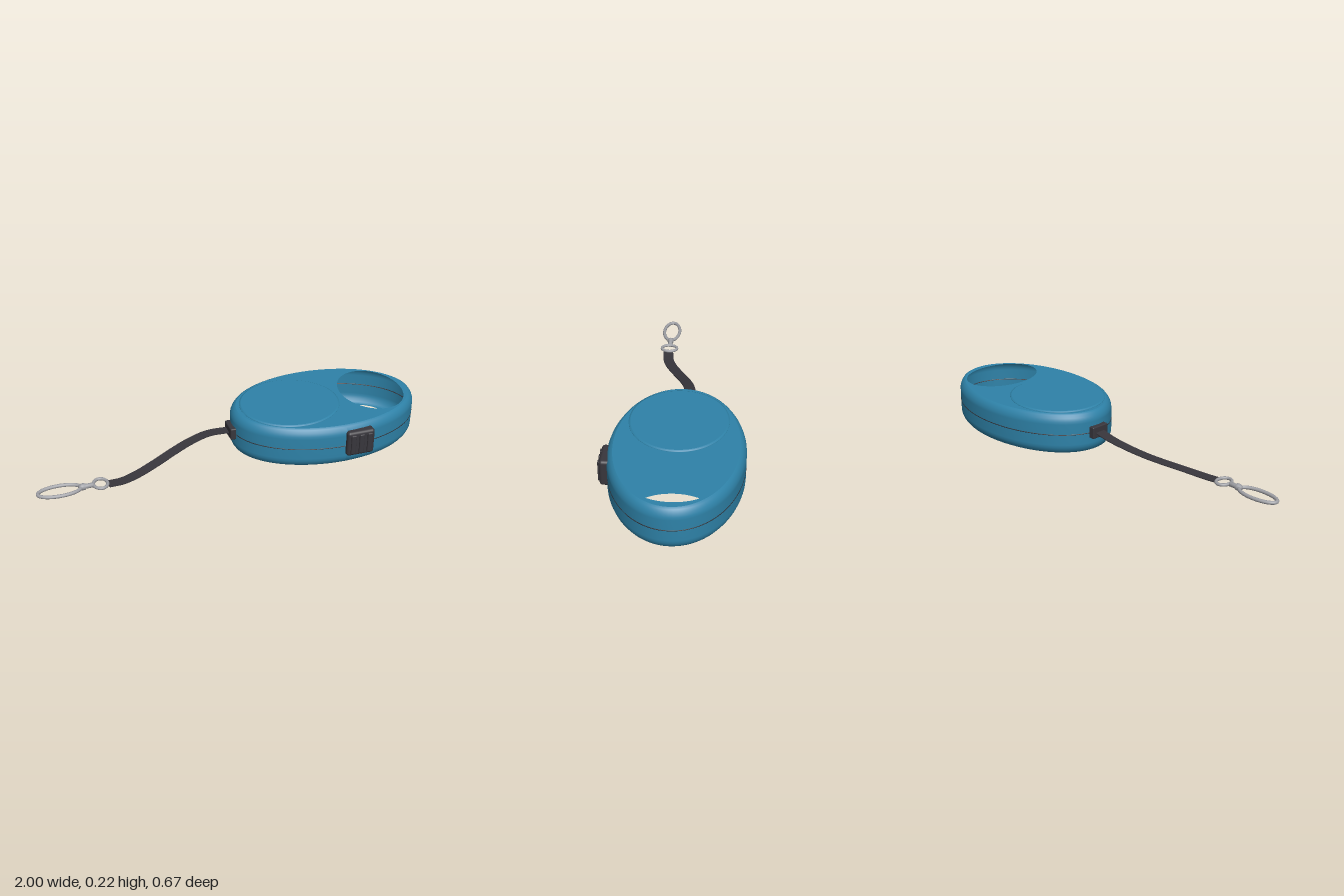
import * as THREE from 'three';
import { RoundedBoxGeometry } from 'three/addons/geometries/RoundedBoxGeometry.js';

const mat = (name, color, side = THREE.FrontSide) =>
  Object.assign(new THREE.MeshStandardMaterial({ color, side }), { name });

export function createModel() {
  const blue = mat('blue plastic', 0x2e82a8, THREE.DoubleSide);
  const charcoal = mat('charcoal', 0x38363c, THREE.DoubleSide);
  const steel = mat('steel', 0x9fa0a5);

  const model = new THREE.Group();
  model.name = 'retractableLead';
  const add = (parent, name, geometry, material, x = 0, y = 0, z = 0) => {
    const mesh = new THREE.Mesh(geometry, material);
    mesh.name = name;
    mesh.position.set(x, y, z);
    parent.add(mesh);
    return mesh;
  };

  // Sweeps a profile of [inset, y] points around an ellipse
  const ovalLathe = (rx, rz, profile) => {
    const geo = new THREE.LatheGeometry(
      profile.map(([inset, y]) => new THREE.Vector2(Math.max(rx - inset, 0.0001), y)), 96);
    const p = geo.attributes.position;
    for (let i = 0; i < p.count; i++) {
      const r = Math.hypot(p.getX(i), p.getZ(i));
      p.setZ(i, p.getZ(i) / r * Math.max(r - (rx - rz), 0));
    }
    geo.computeVertexNormals();
    return geo;
  };

  // Hollow oval case with a grip opening through top and bottom
  const RX = 0.49, RZ = 0.319, H = 0.211, INSET = 0.028;
  const body = new THREE.Group();
  body.name = 'case';
  body.position.set(0.51, 0, -0.016);
  model.add(body);

  add(body, 'caseWall', ovalLathe(RX, RZ, [
    [INSET, 0], [0.017, 0.006], [0.007, 0.02], [0.001, 0.036], [0, 0.05], [0, 0.105],
    [0, 0.161], [0.001, 0.175], [0.007, 0.191], [0.017, 0.205], [INSET, H],
  ]), blue);

  const plate = new THREE.Shape();
  plate.absellipse(0, 0, RX - INSET, RZ - INSET, 0, Math.PI * 2);
  const opening = new THREE.Path();
  opening.absellipse(0.267, 0, 0.163, 0.207, 0, Math.PI * 2, true);
  plate.holes.push(opening);
  const plateGeo = new THREE.ShapeGeometry(plate, 48);
  add(body, 'topPlate', plateGeo, blue, 0, H).rotation.x = -Math.PI / 2;
  add(body, 'bottomPlate', plateGeo, blue).rotation.x = Math.PI / 2;

  // Seam running round the middle, showing inside and out
  add(body, 'seam', ovalLathe(RX, RZ, [
    [0.0015, 0.1035], [-0.001, 0.1035], [-0.001, 0.1075], [0.0015, 0.1075], [0.0015, 0.1035],
  ]), charcoal);

  // Raised oval cover over the reel
  const cover = new THREE.Group();
  cover.name = 'reelCover';
  cover.position.set(0.325, H, -0.013);
  model.add(cover);
  const rim = [[0, 0], [0, 0.003], [0.008, 0.007]];
  add(cover, 'coverRim', ovalLathe(0.257, 0.238, rim), blue);
  const face = new THREE.Shape();
  face.absellipse(0, 0, 0.249, 0.23, 0, Math.PI * 2);
  add(cover, 'coverFace', new THREE.ShapeGeometry(face, 48), blue, 0, 0.007).rotation.x = -Math.PI / 2;

  // Brake button with three grip ribs
  const button = new THREE.Group();
  button.name = 'brakeButton';
  button.position.set(0.577, 0.121, 0);
  model.add(button);
  add(button, 'buttonPad', new RoundedBoxGeometry(0.145, 0.134, 0.077, 3, 0.015), charcoal, 0, 0, 0.2885);
  for (const x of [-0.043, 0, 0.043])
    add(button, 'gripRib', new RoundedBoxGeometry(0.026, 0.105, 0.02, 2, 0.005), charcoal, x, 0, 0.325);

  // Strap outlet
  add(model, 'outlet', new RoundedBoxGeometry(0.045, 0.062, 0.1, 2, 0.006), charcoal, 0.02, 0.108, -0.018);

  // Flat strap: a rectangular section carried along a curve
  const path = new THREE.CatmullRomCurve3([
    [0.01, 0.107, -0.022], [-0.1, 0.098, -0.037], [-0.2, 0.079, -0.022], [-0.3, 0.056, 0.01],
    [-0.4, 0.035, 0.052], [-0.5, 0.018, 0.092], [-0.58, 0.009, 0.114], [-0.655, 0.011, 0.122],
  ].map((p) => new THREE.Vector3(...p)));
  const N = 60, W = 0.028, T = 0.0025, verts = [], index = [];
  for (let i = 0; i <= N; i++) {
    const c = path.getPointAt(i / N), t = path.getTangentAt(i / N);
    const side = new THREE.Vector3(-t.z, 0, t.x).normalize();
    for (const [a, b] of [[W, T], [W, -T], [-W, -T], [-W, T]])
      verts.push(c.x + side.x * a, c.y + b, c.z + side.z * a);
    if (i === N) break;
    for (let k = 0; k < 4; k++) {
      const p = i * 4 + k, q = i * 4 + (k + 1) % 4;
      index.push(p, p + 4, q, q, p + 4, q + 4);
    }
  }
  index.push(0, 1, 2, 0, 2, 3);
  const e = N * 4;
  index.push(e, e + 2, e + 1, e, e + 3, e + 2);
  let strapGeo = new THREE.BufferGeometry();
  strapGeo.setAttribute('position', new THREE.Float32BufferAttribute(verts, 3));
  strapGeo.setIndex(index);
  strapGeo = strapGeo.toNonIndexed();
  strapGeo.computeVertexNormals();
  add(model, 'strap', strapGeo, charcoal);

  // Metal clip: strap ring, swivel and oval hook
  const clip = new THREE.Group();
  clip.name = 'clip';
  clip.position.set(0, 0.019, 0.118);
  model.add(clip);

  const ovalRing = (name, x, rx, rz, tube) => {
    const pts = Array.from({ length: 40 }, (_, i) => {
      const a = i / 40 * Math.PI * 2;
      return new THREE.Vector3(Math.cos(a) * rx, 0, Math.sin(a) * rz);
    });
    add(clip, name, new THREE.TubeGeometry(
      new THREE.CatmullRomCurve3(pts, true), 80, tube, 12, true), steel, x);
  };
  ovalRing('strapRing', -0.69, 0.034, 0.042, 0.008);
  ovalRing('hook', -0.888, 0.103, 0.044, 0.009);

  const swivel = [[0, 0], [0.012, 0], [0.012, 0.035], [0.017, 0.04], [0.017, 0.055], [0.01, 0.068], [0, 0.068]];
  add(clip, 'swivel', new THREE.LatheGeometry(
    swivel.map(([r, y]) => new THREE.Vector2(r, y)), 20), steel, -0.727).rotation.z = Math.PI / 2;

  return model;
}
